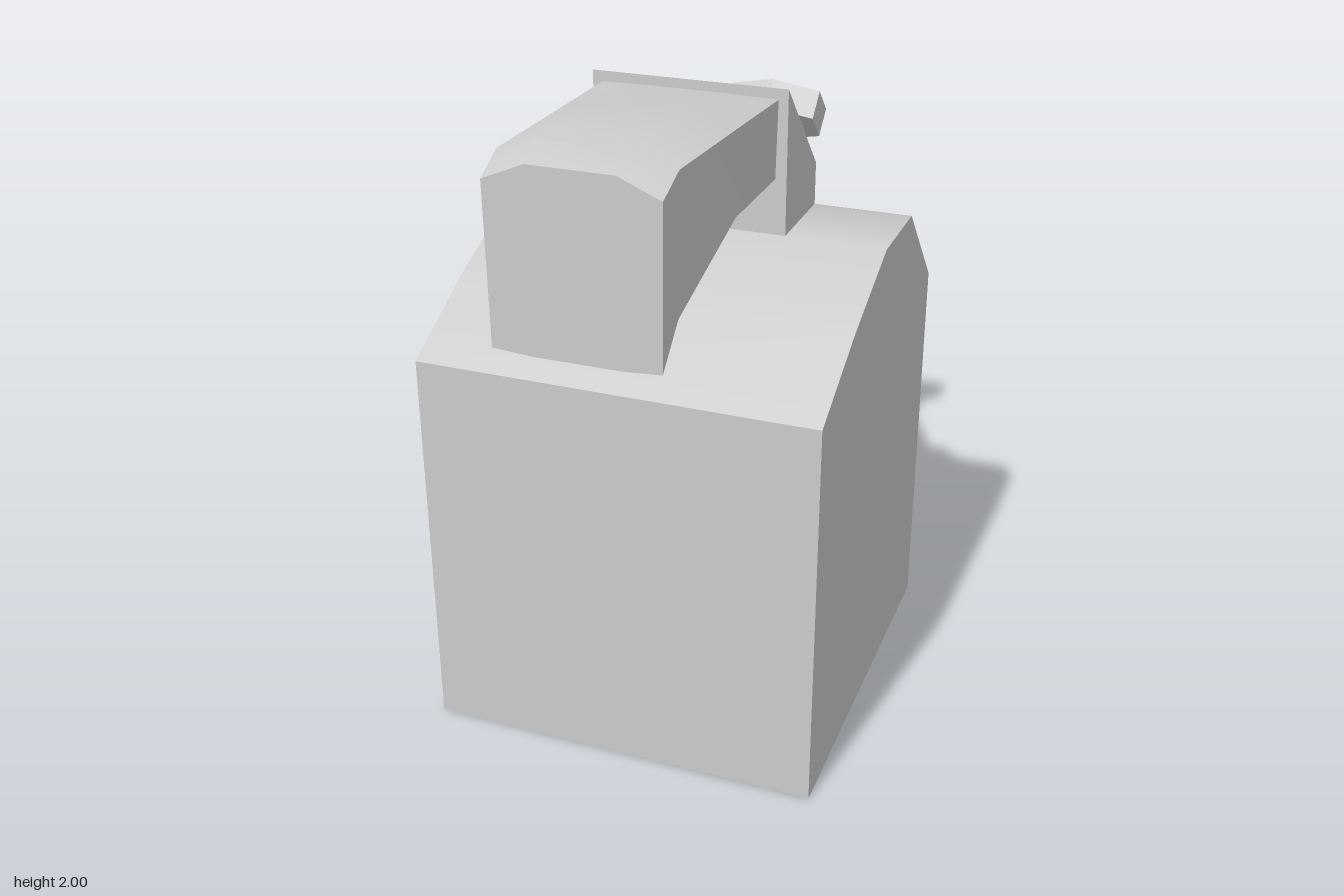
import * as THREE from 'three';
import { toCreasedNormals } from 'three/addons/utils/BufferGeometryUtils.js';

const grey = new THREE.MeshStandardMaterial({ color: 0xcccccc });

function part(name, geometry, crease) {
  const mesh = new THREE.Mesh(toCreasedNormals(geometry, crease), grey);
  mesh.name = name;
  return mesh;
}

// Side profile of [z, y] points, extruded across x
function slab(profile, width) {
  const shape = new THREE.Shape(profile.map(([z, y]) => new THREE.Vector2(z, y)));
  const geo = new THREE.ExtrudeGeometry(shape, { depth: width, bevelEnabled: false });
  return geo.translate(0, 0, -width / 2).rotateY(-Math.PI / 2);
}

// Skin over matching rings of [x, y, z], closed at both ends
function loft(rings) {
  const n = rings[0].length;
  const last = (rings.length - 1) * n;
  const index = [];
  for (let i = 0; i < rings.length - 1; i++) {
    for (let j = 0; j < n; j++) {
      const k = (j + 1) % n;
      const a = i * n + j, b = i * n + k;
      index.push(a, b, b + n, a, b + n, a + n);
    }
  }
  for (let j = 1; j < n - 1; j++) {
    index.push(0, j + 1, j, last, last + j, last + j + 1);
  }
  const geo = new THREE.BufferGeometry();
  geo.setAttribute('position', new THREE.Float32BufferAttribute(rings.flat(2), 3));
  geo.setIndex(index);
  geo.computeVertexNormals();
  return geo.toNonIndexed();
}

// Handle cross-section: chamfered top, slightly bowed underside
function handleRing(z, halfWidth, top, shoulder, bottom) {
  const w = halfWidth, t = 0.125, b = halfWidth - 0.005;
  return [
    [w, shoulder, z], [t, top, z], [-t, top, z], [-w, shoulder, z],
    [-b, bottom + 0.008, z], [-t, bottom, z], [t, bottom, z], [b, bottom + 0.008, z],
  ];
}

// Flattened hexagon square to the 45 degree spout axis
function hexRing(y, z, halfWidth, halfHeight, sideHeight) {
  const s = Math.SQRT1_2;
  return [
    [0, halfHeight], [halfWidth, sideHeight], [halfWidth, -sideHeight],
    [0, -halfHeight], [-halfWidth, -sideHeight], [-halfWidth, sideHeight],
  ].map(([x, u]) => [x, y + u * s, z + u * s]);
}

export function createModel() {
  const model = new THREE.Group();
  model.name = 'jerryCan';

  model.add(part('body', slab([
    [0.68, 0], [0.68, 1.245], [0.38, 1.4], [0.06, 1.535],
    [-0.24, 1.535], [-0.545, 1.23], [-0.545, 0],
  ], 1.23), 0.9));

  model.add(part('handleMount', slab([
    [0.06, 1.535], [0.06, 1.98], [-0.24, 1.67], [-0.24, 1.535],
  ], 0.61), 0.5));

  model.add(part('handle', loft([
    handleRing(0.06, 0.275, 1.95, 1.947, 1.7),
    handleRing(0.38, 0.265, 1.995, 1.955, 1.69),
    handleRing(0.79, 0.253, 2.0, 1.965, 1.55),
    handleRing(0.895, 0.25, 1.968, 1.915, 1.435),
  ]), 0.5));

  // Spout: flared base, neck and cap
  const spout = new THREE.Group();
  spout.name = 'spout';
  const base = [
    [0, 1.535, -0.245], [0.305, 1.42, -0.355], [0.305, 1.23, -0.545],
    [0, 1.04, -0.545], [-0.305, 1.23, -0.545], [-0.305, 1.42, -0.355],
  ];
  spout.add(part('spoutBase', loft([base, hexRing(1.4925, -0.6175, 0.14, 0.088, 0.056)]), 0.2));
  spout.add(part('spoutNeck', loft([
    hexRing(1.4925, -0.6175, 0.11, 0.062, 0.036),
    hexRing(1.63, -0.755, 0.11, 0.062, 0.036),
  ]), 0.2));
  spout.add(part('spoutCap', loft([
    hexRing(1.62, -0.74, 0.155, 0.112, 0.06),
    hexRing(1.695, -0.815, 0.155, 0.112, 0.06),
  ]), 0.2));
  model.add(spout);

  return model;
}
